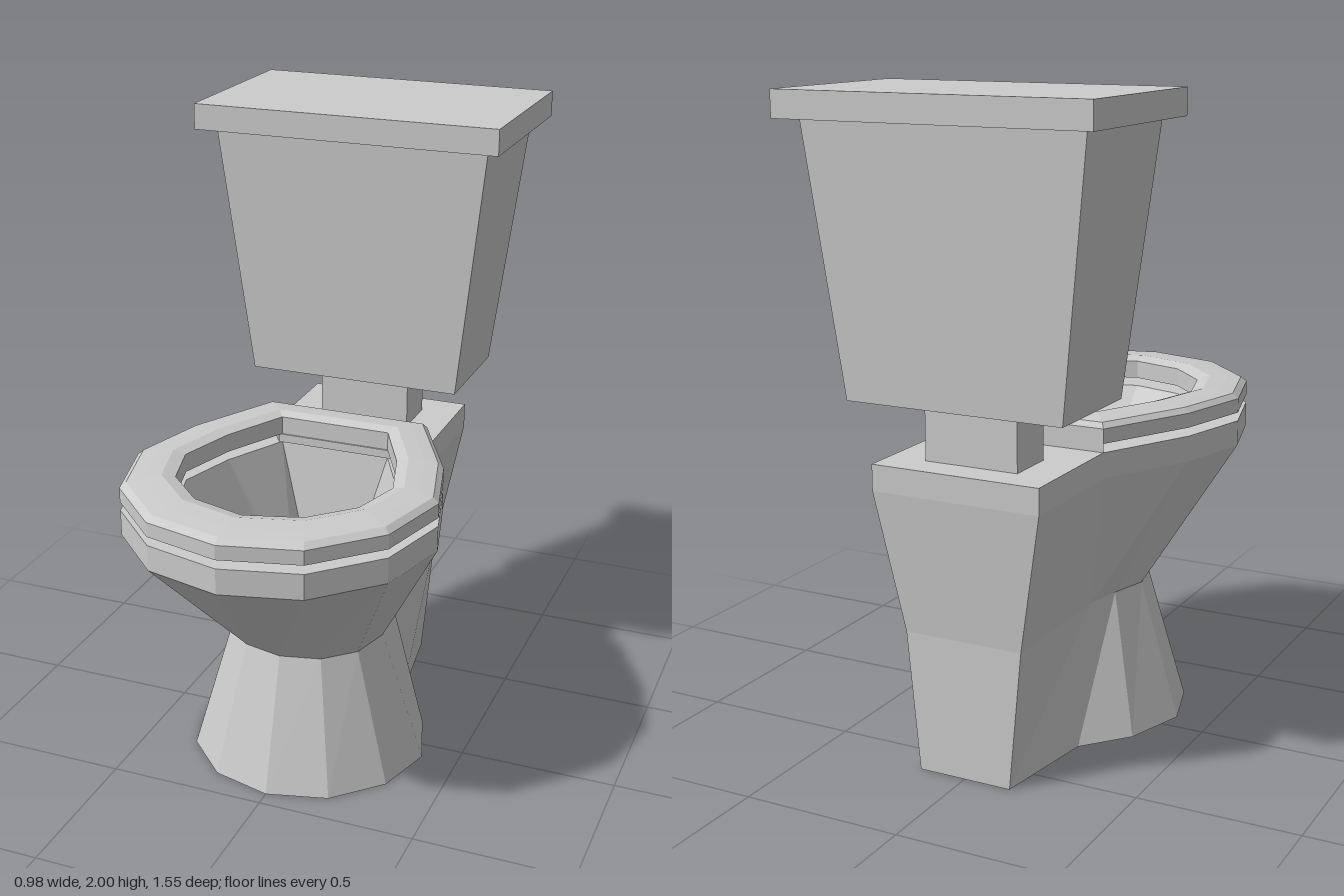
import * as THREE from 'three';

const material = new THREE.MeshStandardMaterial({ color: 0xcccccc, flatShading: true });

// Half outlines as [x, z], running from the front centre round the +x side to the back
const RIM = [[0, 0.77], [0.24, 0.71], [0.42, 0.53], [0.485, 0.285], [0.42, 0.04], [0.27, -0.25]];
const WAIST = [[0, 0.33], [0.125, 0.3], [0.215, 0.215], [0.25, 0.085], [0.215, -0.04], [0.19, -0.16]];
const FOOT = [[0, 0.45], [0.19, 0.4], [0.33, 0.26], [0.385, 0.07], [0.32, -0.13], [0.2, -0.27]];
const HOLE = [[0, 0.59], [0.17, 0.54], [0.29, 0.42], [0.335, 0.26], [0.28, 0.07], [0.18, -0.13]];
const DRAIN = [[0, 0.145], [0.05, 0.13], [0.085, 0.1], [0.1, 0.04], [0.085, 0], [0.06, -0.078]];

// Mirror a half outline into a closed ring at height y
function ring(half, y) {
  const left = half.map(([x, z]) => [x, y, z]);
  const right = half.filter(([x]) => x > 0).reverse().map(([x, z]) => [-x, y, z]);
  return [...left, ...right];
}

// Rectangular ring: half width, front z, back z
const rect = (w, front, back, y) => ring([[w, front], [w, back]], y);

const blend = (a, b, t) => a.map(([x, z], i) => [x + (b[i][0] - x) * t, z + (b[i][1] - z) * t]);

// Skin a list of equal rings, closing both ends or joining the last to the first
function loft(name, rings, joined = false) {
  const pos = [];
  const tri = (a, b, c) => pos.push(...a, ...b, ...c);
  const n = rings[0].length;
  const spans = joined ? rings.length : rings.length - 1;
  for (let r = 0; r < spans; r++) {
    const a = rings[r], b = rings[(r + 1) % rings.length];
    for (let i = 0; i < n; i++) {
      const j = (i + 1) % n;
      tri(a[i], a[j], b[j]);
      tri(a[i], b[j], b[i]);
    }
  }
  if (!joined) {
    const centre = (r) => [0, 1, 2].map((k) => r.reduce((s, p) => s + p[k], 0) / n);
    const first = rings[0], last = rings[rings.length - 1];
    const c0 = centre(first), c1 = centre(last);
    for (let i = 0; i < n; i++) {
      const j = (i + 1) % n;
      tri(c0, first[j], first[i]);
      tri(c1, last[i], last[j]);
    }
  }
  const geometry = new THREE.BufferGeometry();
  geometry.setAttribute('position', new THREE.Float32BufferAttribute(pos, 3));
  geometry.computeVertexNormals();
  const mesh = new THREE.Mesh(geometry, material);
  mesh.name = name;
  return mesh;
}

export function createModel() {
  const model = new THREE.Group();
  model.name = 'toilet';

  // Pedestal and bowl: up the outside, over the rim and down to the drain
  const pinch = (half) => [...half, half[half.length - 1]];
  model.add(loft('bowl', [
    ring([...FOOT, [0.15, -0.62]], 0),
    ring([...WAIST, [0.19, -0.62]], 0.43),
    ring([...RIM, [0.27, -0.66]], 0.86),
    ring([...RIM, [0.27, -0.66]], 0.94),
    ring(pinch(HOLE), 0.94),
    ring(pinch(DRAIN), 0.5),
  ]));

  // Seat ring with a softened top
  const seatProfile = [[0, 0.967], [0, 1.012], [0.12, 1.028], [0.4, 1.033], [0.75, 1.037], [1, 1.025], [1, 0.967]];
  model.add(loft('seat', seatProfile.map(([t, y]) => ring(blend(RIM, HOLE, t), y)), true));

  // Hinge block under the back of the seat
  const hinge = [[0.19, -0.125], [0.27, -0.25]];
  model.add(loft('seatHinge', [ring(hinge, 0.94), ring(hinge, 0.967)]));

  // Neck, tapered tank and lid
  model.add(loft('neck', [rect(0.15, -0.4, -0.56, 0.94), rect(0.15, -0.4, -0.56, 1.12)]));
  model.add(loft('tank', [rect(0.345, -0.29, -0.665, 1.12), rect(0.44, -0.24, -0.715, 1.92)]));
  model.add(loft('tankLid', [rect(0.488, -0.18, -0.78, 1.92), rect(0.488, -0.18, -0.78, 2)]));

  return model;
}
